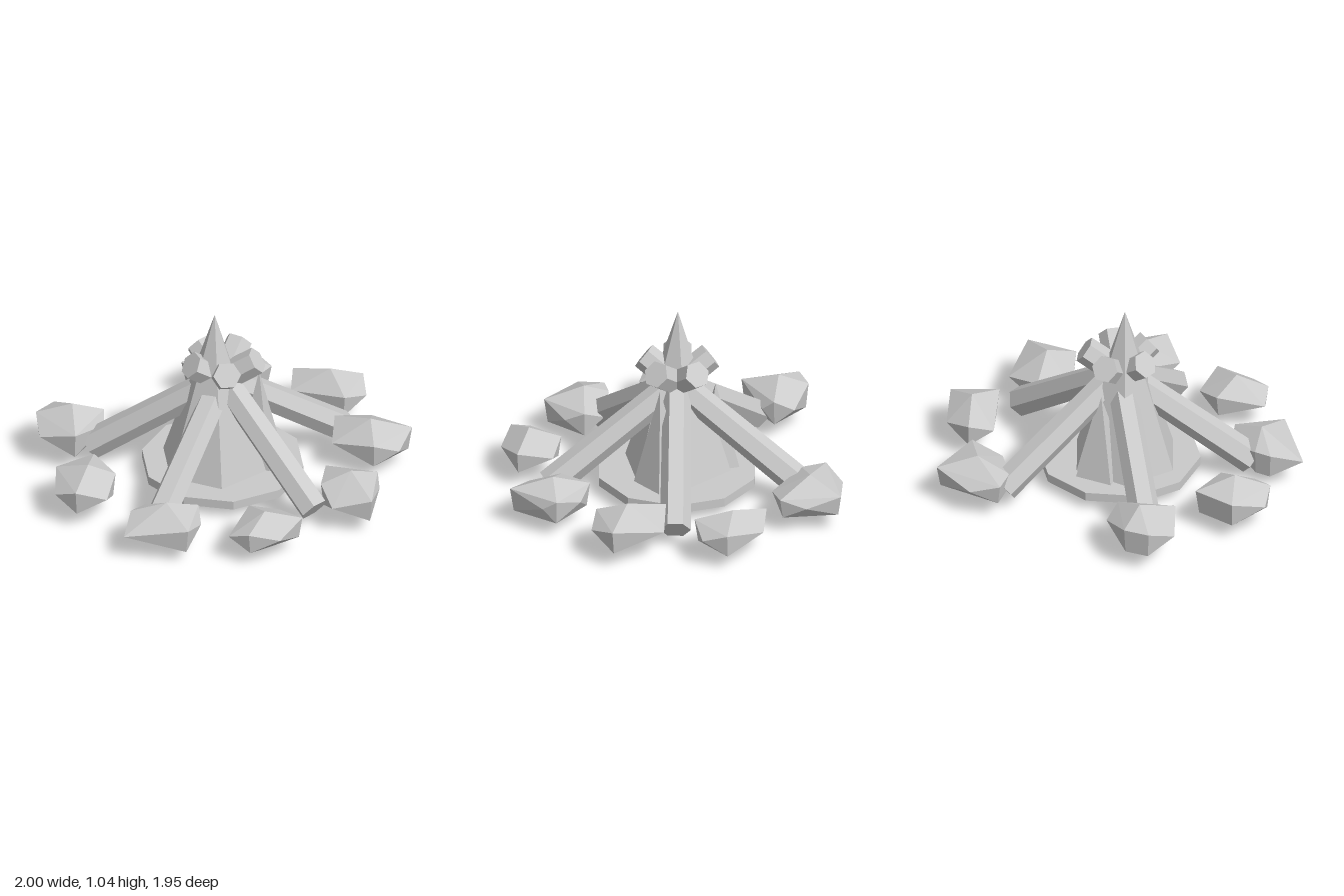
import * as THREE from 'three';
import { ConvexGeometry } from 'three/addons/geometries/ConvexGeometry.js';

const grey = new THREE.MeshStandardMaterial({ color: 0xcacaca });
grey.name = 'grey';

// faceted, optionally tapered cylinder
function faceted(name, rTop, rBottom, height, sides, thetaStart = 0) {
  const geo = new THREE.CylinderGeometry(rTop, rBottom, height, sides, 1, false, thetaStart).toNonIndexed();
  geo.computeVertexNormals();
  const mesh = new THREE.Mesh(geo, grey);
  mesh.name = name;
  return mesh;
}

// pointed flame standing on the ash bed
function flame(name, x, z, radius, tipY, sides, theta = 0) {
  const base = 0.08;
  const mesh = faceted(name, 0, radius, tipY - base, sides, theta);
  mesh.position.set(x, (tipY + base) / 2, z);
  return mesh;
}

// chipped stone: widest outline seen from above, a peak and a narrower underside
function stone(bottom, top, outline) {
  const points = [], n = outline.length, h = top - bottom;
  const cx = outline.reduce((s, p) => s + p[0], 0) / n;
  const cz = outline.reduce((s, p) => s + p[1], 0) / n;
  outline.forEach(([x, z], i) => {
    points.push(new THREE.Vector3(x, bottom + h * (i % 2 ? 0.55 : 0.75), z));
    if (i % 2 === 0) {
      points.push(new THREE.Vector3(cx + (x - cx) * 0.91, bottom + h * 0.25, cz + (z - cz) * 0.91));
    }
  });
  points.push(new THREE.Vector3(cx, top, cz), new THREE.Vector3(cx, bottom, cz));
  const mesh = new THREE.Mesh(new ConvexGeometry(points), grey);
  mesh.name = 'stone';
  return mesh;
}

export function createModel() {
  const model = new THREE.Group();
  model.name = 'campfire';

  // ash bed
  const cx = -0.03, cz = 0.03;
  const bed = faceted('ashBed', 0.443, 0.443, 0.05, 10);
  bed.position.set(cx, 0.085, cz);
  model.add(bed);

  // five leaning logs that cross above the fire
  const head = new THREE.Vector3(0, 0.76, -0.19);
  const foot = new THREE.Vector3(0, 0.115, 0.72);
  for (let i = 0; i < 5; i++) {
    const log = faceted('log', 0.075, 0.084, head.distanceTo(foot), 6, Math.PI / 6);
    log.position.copy(head).add(foot).multiplyScalar(0.5);
    log.rotation.x = -Math.atan2(foot.z - head.z, head.y - foot.y);
    const lean = new THREE.Group();
    lean.name = 'leaningLog';
    lean.position.set(cx, 0, cz);
    lean.rotation.y = Math.PI + i * Math.PI * 2 / 5;
    lean.add(log);
    model.add(lean);
  }

  // flames
  model.add(
    flame('mainFlame', -0.075, 0.04, 0.31, 1.04, 6),
    flame('sideFlame', 0.165, 0.06, 0.15, 0.67, 4, 0.28),
    flame('sideFlame', -0.15, -0.15, 0.155, 0.59, 4, -0.17),
    flame('sideFlame', -0.13, 0.18, 0.12, 0.5, 4, 0.5)
  );

  // ring of stones
  model.add(
    stone(0.04, 0.27, [[-0.15, -0.78], [-0.05, -0.91], [0.19, -0.98], [0.3, -0.82], [0.33, -0.68], [0.17, -0.58], [-0.06, -0.67]]),
    stone(0.02, 0.28, [[0.44, -0.64], [0.61, -0.68], [0.81, -0.54], [0.81, -0.4], [0.68, -0.31], [0.41, -0.5]]),
    stone(0.03, 0.3, [[0.6, -0.12], [0.81, -0.18], [1, 0.05], [0.91, 0.2], [0.77, 0.22], [0.56, 0.07]]),
    stone(0.02, 0.29, [[0.49, 0.35], [0.62, 0.36], [0.76, 0.45], [0.76, 0.53], [0.69, 0.74], [0.48, 0.7], [0.44, 0.53]]),
    stone(0.03, 0.27, [[0.03, 0.67], [0.2, 0.66], [0.3, 0.83], [0.16, 0.97], [-0.01, 0.97], [-0.11, 0.89]]),
    stone(0, 0.28, [[-0.53, 0.59], [-0.34, 0.55], [-0.24, 0.63], [-0.24, 0.74], [-0.33, 0.89], [-0.67, 0.81], [-0.61, 0.64]]),
    stone(0.03, 0.31, [[-0.74, 0.1], [-0.65, 0.22], [-0.65, 0.31], [-0.72, 0.48], [-0.89, 0.48], [-0.99, 0.39], [-0.96, 0.2]]),
    stone(0.03, 0.32, [[-0.89, -0.43], [-0.68, -0.42], [-0.63, -0.32], [-0.64, -0.25], [-0.82, -0.07], [-1, -0.18], [-1, -0.34]])
  );
  return model;
}
